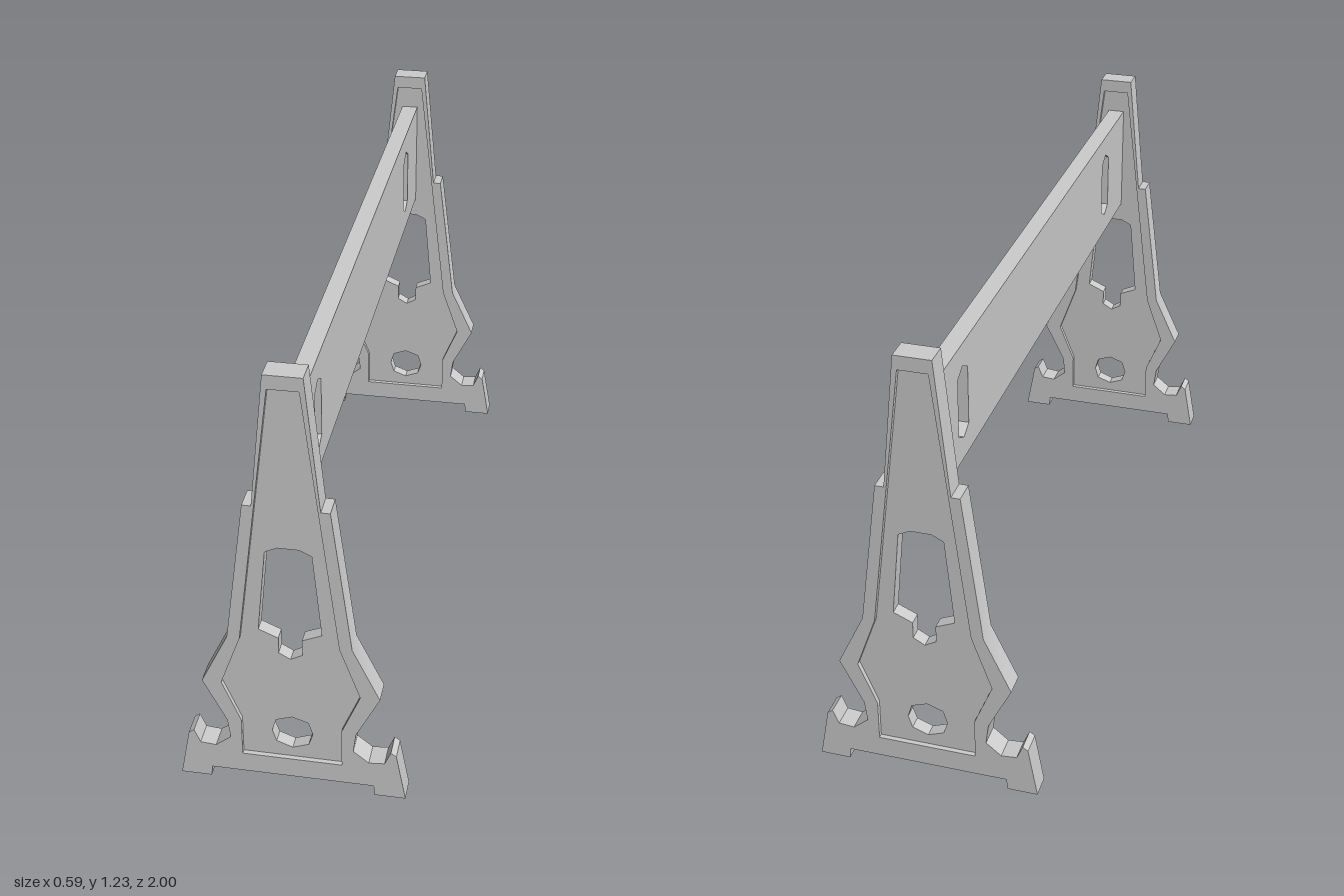
import * as THREE from 'three';
import { toCreasedNormals } from 'three/addons/utils/BufferGeometryUtils.js';

const material = new THREE.MeshStandardMaterial({ color: 0xcccccc });

// Right-hand half of an outline (top to bottom) mirrored into a counter-clockwise loop
function mirrored(half) {
  const points = half.map(([x, y]) => new THREE.Vector2(x, y));
  const other = half.filter(([x]) => x > 0).map(([x, y]) => new THREE.Vector2(-x, y));
  return [...other, ...points.reverse()];
}

// Plate of given thickness, centred on z = 0, with cut-outs
function plate(name, outline, holes, depth) {
  const shape = new THREE.Shape(outline);
  holes.forEach((h) => shape.holes.push(new THREE.Path(h)));
  const geometry = new THREE.ExtrudeGeometry(shape, { depth, bevelEnabled: false });
  geometry.translate(0, 0, -depth / 2);
  const mesh = new THREE.Mesh(toCreasedNormals(geometry, 0.4), material);
  mesh.name = name;
  return mesh;
}

const THICKNESS = 0.063;
const RECESS = 0.013;

const standOutline = mirrored([
  [0.048, 1.225], [0.084, 0.865], [0.107, 0.865], [0.158, 0.465], [0.228, 0.317],
  [0.167, 0.195], [0.16, 0.139], [0.2, 0.106], [0.241, 0.11], [0.257, 0.148],
  [0.271, 0.138], [0.296, 0], [0.216, 0], [0.213, 0.03],
]);
const panelOutline = mirrored([
  [0.038, 1.188], [0.126, 0.463], [0.178, 0.317], [0.13, 0.2], [0.13, 0.088],
]);
const windowCut = mirrored([
  [0.027, 0.741], [0.058, 0.726], [0.08, 0.49], [0.03, 0.468], [0.03, 0.422], [0, 0.405],
]);
const roundCut = mirrored([
  [0, 0.218], [0.042, 0.203], [0.053, 0.167], [0.042, 0.133], [0, 0.117],
]);

// End stand: raised rim around a panel recessed on both faces
function createStand(name) {
  const stand = new THREE.Group();
  stand.name = name;
  stand.add(
    plate('standRim', standOutline, [panelOutline], THICKNESS),
    plate('standPanel', panelOutline, [windowCut, roundCut], THICKNESS - 2 * RECESS),
  );
  return stand;
}

// Crossbar with a pointed slot near each end, drawn lengthwise then turned along z
function createCrossbar() {
  const end = 1 - THICKNESS + RECESS;
  const outline = mirrored([[end, 1.12], [end, 0.799]]);
  const slots = [-0.717, 0.717].map((cx) => mirrored([
    [0, 1.06], [0.039, 1.038], [0.039, 0.878], [0, 0.858],
  ]).map((p) => new THREE.Vector2(p.x + cx, p.y)));
  const bar = plate('crossbar', outline, slots, 0.048);
  bar.rotation.y = Math.PI / 2;
  return bar;
}

export function createModel() {
  const model = new THREE.Group();
  model.name = 'rackStand';
  for (const side of [1, -1]) {
    const stand = createStand(side > 0 ? 'frontStand' : 'backStand');
    stand.position.z = side * (1 - THICKNESS / 2);
    model.add(stand);
  }
  model.add(createCrossbar());
  return model;
}
